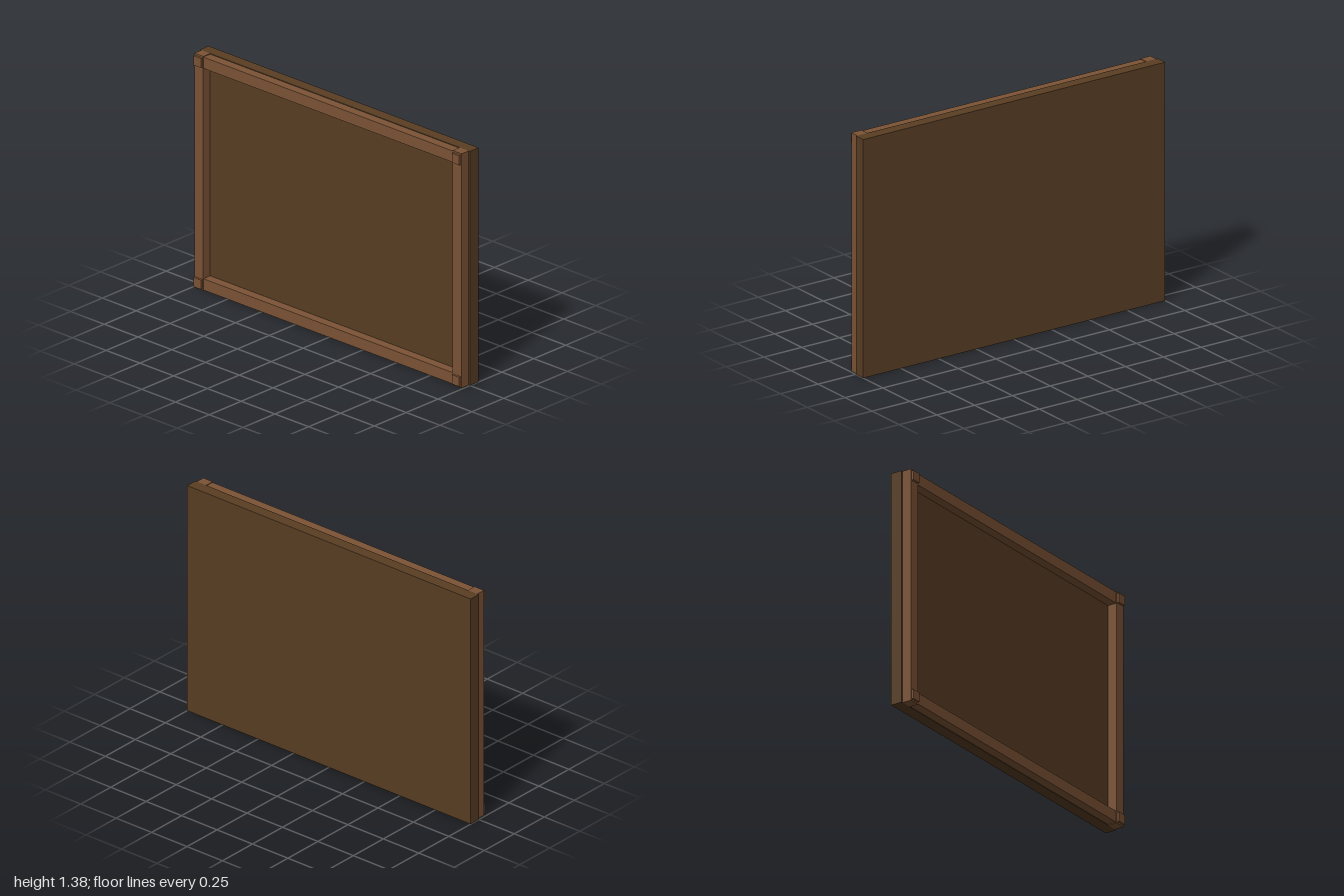
import * as THREE from 'three';

export function createModel() {
  const group = new THREE.Group();
  const darkWood = new THREE.MeshStandardMaterial({ color: 0x583d23 });
  darkWood.name = 'dark wood';
  const lightWood = new THREE.MeshStandardMaterial({ color: 0x7b5335 });
  lightWood.name = 'light wood';

  const H = 1.375;

  // Box given by its centre and size
  function box(name, material, [w, h, d], [x, y, z]) {
    const mesh = new THREE.Mesh(new THREE.BoxGeometry(w, h, d), material);
    mesh.name = name;
    mesh.position.set(x, y, z);
    group.add(mesh);
  }

  // Solid backing board
  box('backBoard', darkWood, [2, H, 0.068], [0, H / 2, -0.034]);

  for (const s of [-1, 1]) {
    const side = s > 0 ? 'left' : 'right';
    const level = s > 0 ? 'top' : 'bottom';

    // Upright stiles run the full height, rails fit between them
    box(side + 'Stile', lightWood, [0.066, H, 0.055], [s * 0.957, H / 2, 0.0275]);
    box(level + 'Rail', lightWood, [1.848, 0.066, 0.054], [0, H / 2 + s * (H / 2 - 0.037), 0.027]);

    // Small square blocks on the corners
    for (const v of [-1, 1]) {
      box(side + (v > 0 ? 'Top' : 'Bottom') + 'CornerBlock', lightWood,
        [0.055, 0.055, 0.013], [s * 0.957, H / 2 + v * (H / 2 - 0.0375), 0.0615]);
    }
  }

  return group;
}
